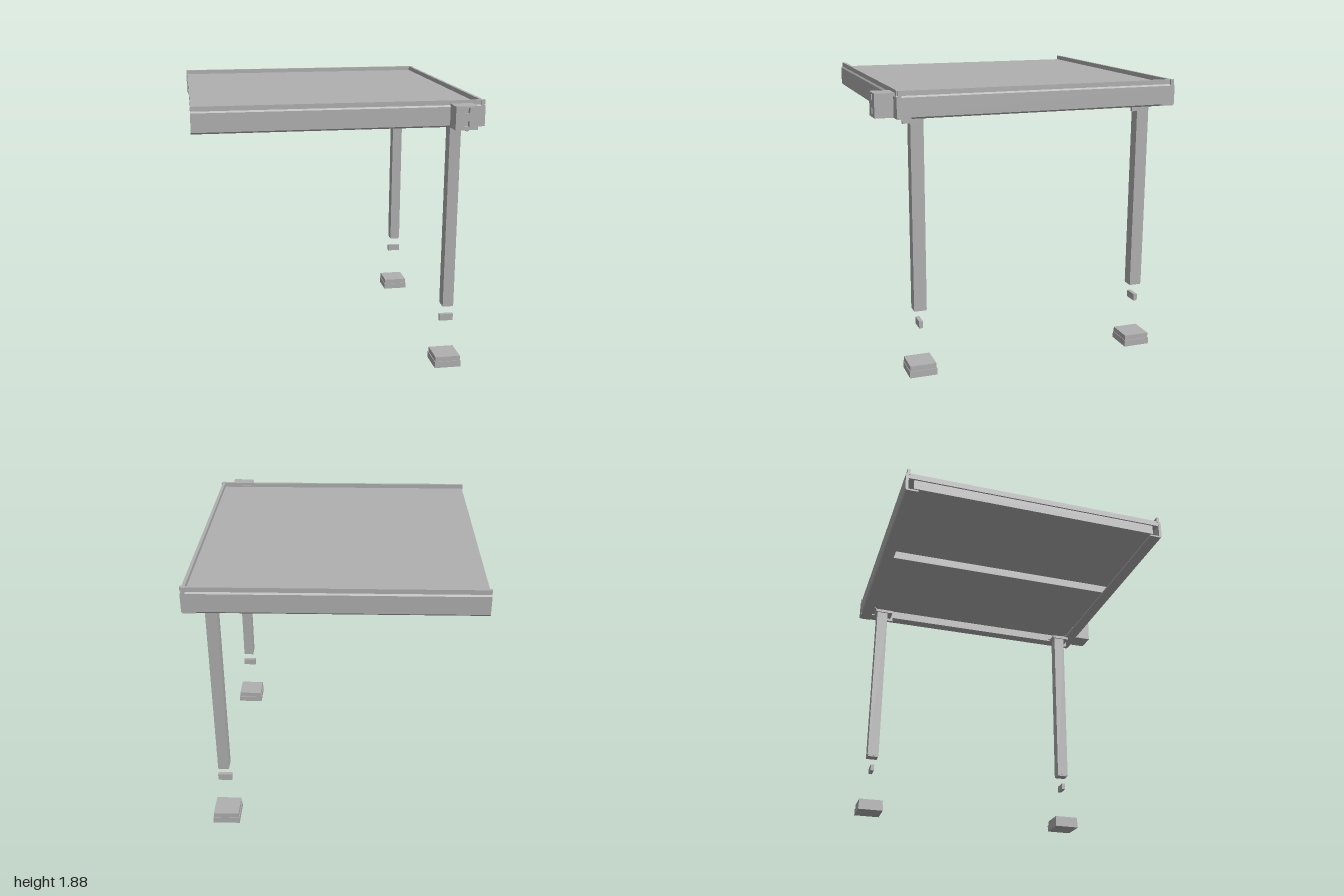
import * as THREE from 'three';

export function createModel() {
  const model = new THREE.Group();
  const metal = new THREE.MeshStandardMaterial({ color: 0xb0b0b0 });
  metal.name = 'grey metal';

  const add = (name, geometry, parent = model) => {
    const mesh = new THREE.Mesh(geometry, metal);
    mesh.name = name;
    parent.add(mesh);
    return mesh;
  };
  // box given by its limits on each axis
  const box = (name, [x0, x1], [y0, y1], [z0, z1], parent) =>
    add(name, new THREE.BoxGeometry(x1 - x0, y1 - y0, z1 - z0), parent)
      .position.set((x0 + x1) / 2, (y0 + y1) / 2, (z0 + z1) / 2);
  const polygon = (points) => new THREE.Shape(points.map(([x, y]) => new THREE.Vector2(x, y)));
  const extrude = (shape, depth) => new THREE.ExtrudeGeometry(shape, { depth, bevelEnabled: false });

  // channel beams: stepped outer face, narrow top lip, wide bottom flange
  const profile = polygon([
    [-0.008, 1.71], [0, 1.72], [0, 1.84], [-0.01, 1.85], [-0.01, 1.88], [-0.03, 1.88],
    [-0.03, 1.84], [-0.02, 1.84], [-0.02, 1.722], [-0.09, 1.722], [-0.09, 1.71],
  ]);
  const beam = (name, length, x, z, turn) => {
    const mesh = add(name, extrude(profile, length));
    mesh.position.set(x, 0, z);
    mesh.rotation.y = turn;
  };
  beam('frontBeam', 1.865, 0.93, 0.87, -Math.PI / 2);
  beam('backBeam', 1.865, -0.935, -1, Math.PI / 2);
  beam('leftBeam', 1.87, 0.93, -1, 0);

  // roof panel and the rails beneath it
  box('roofPanel', [-0.93, 0.91], [1.81, 1.85], [-0.98, 0.85]);
  box('middleRail', [-0.025, 0.025], [1.75, 1.81], [-0.98, 0.85]);
  box('endRail', [-0.92, -0.905], [1.74, 1.81], [-0.94, 0.81]);

  // flat corner gussets
  for (const [z, s] of [[0.85, -1], [-0.98, 1]]) {
    const points = [[0.91, z], [0.91, z + s * 0.25], [0.66, z]].map(([x, zz]) => [x, -zz]);
    const gusset = add('cornerGusset', extrude(polygon(points), 0.01));
    gusset.rotation.x = -Math.PI / 2;
    gusset.position.y = 1.722;
  }

  // legs with top bracket, loose tab and stepped footing
  for (const z of [0.718, -0.838]) {
    const leg = new THREE.Group();
    leg.name = 'legAssembly';
    leg.position.z = z;
    model.add(leg);
    box('leg', [0.735, 0.81], [0.445, 1.71], [-0.042, 0.042], leg);
    box('legCap', [0.737, 0.808], [0.435, 0.445], [-0.04, 0.04], leg);
    box('topPlate', [0.725, 0.825], [1.69, 1.712], [-0.055, 0.08], leg);
    box('topBracket', [0.825, 0.845], [1.67, 1.712], [-0.018, 0.1], leg);
    box('tab', [0.725, 0.82], [0.32, 0.367], [-0.013, 0.013], leg);
    box('footingBase', [0.68, 0.865], [0, 0.045], [-0.092, 0.092], leg);
    box('footingTop', [0.685, 0.86], [0.045, 0.08], [-0.088, 0.088], leg);
  }

  // front box with two square sockets
  const face = polygon([[0.7, 1.71], [0.845, 1.71], [0.845, 1.86], [0.7, 1.86]]);
  for (const y of [1.73, 1.815]) {
    face.holes.push(polygon([[0.755, y], [0.755, y + 0.035], [0.79, y + 0.035], [0.79, y]]));
  }
  add('boxFace', extrude(face, 0.03)).position.z = 0.957;
  box('boxBody', [0.7, 0.845], [1.71, 1.86], [0.837, 0.957]);

  return model;
}
